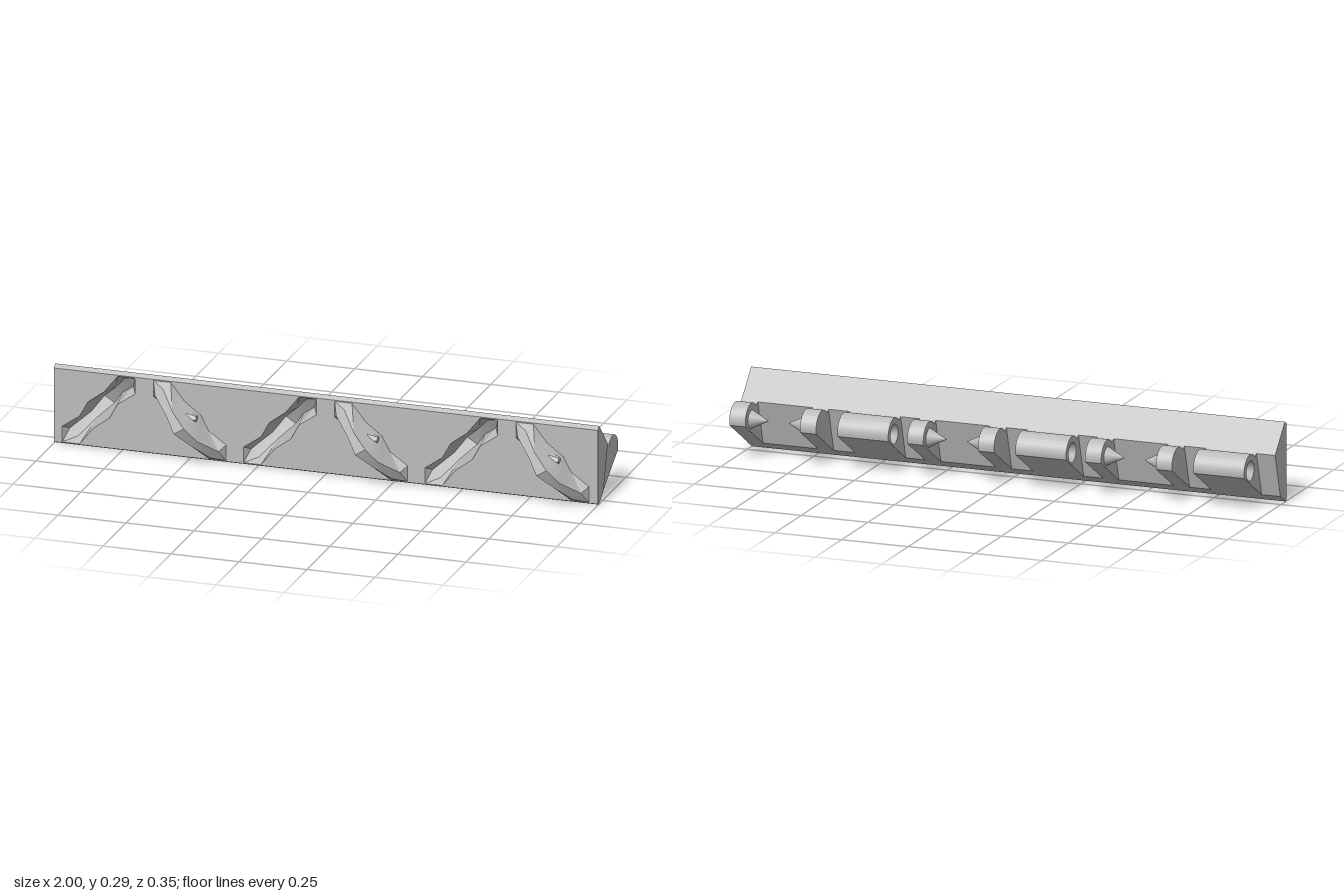
import * as THREE from 'three';
import { toCreasedNormals } from 'three/addons/utils/BufferGeometryUtils.js';

const PITCH = 2 / 3, FRONT = 0.055, MID = 0.141;
const PIN = { z: -0.114, y: 0.143, r: 0.059, hole: 0.036, depth: 0.065 };
const TOP_BACK = [-0.055, 0.191], LOW_BACK = [-0.005, 0.03];
const UPPER = [[FRONT, 0.278], [0.038, 0.289], TOP_BACK];
const LOWER = [LOW_BACK, [0.045, 0], [FRONT, 0.005]];

// rounded knuckle outline as [z, y] points
const KNUCKLE = [TOP_BACK];
const a0 = Math.atan2(0.039, 0.046), a1 = Math.PI + 0.22;
for (let i = 0; i <= 20; i++) {
  const a = a0 + (a1 - a0) * i / 20;
  KNUCKLE.push([PIN.z + PIN.r * Math.cos(a), PIN.y + PIN.r * Math.sin(a)]);
}
KNUCKLE.push(LOW_BACK);

// interlocking lug outline: points along one edge; the other edge is its half turn
const TIP = [0.134, 0.133];
const EDGE = [TIP, [0.07, 0.133], [0.02, 0.07], [-0.04, 0.025], [-0.07, -0.03], [-0.134, -0.075], [-0.134, -0.133]];
const OTHER = [TIP, ...EDGE.slice(1, 6).reverse().map(([x, y]) => [-x, -y]), EDGE[6]];
const HEIGHT = [0, 0.033, 0.09, 0.12, 0.09, 0.033, 0];

function indexed(pos, idx) {
  const g = new THREE.BufferGeometry();
  g.setAttribute('position', new THREE.Float32BufferAttribute(pos, 3));
  g.setIndex(idx);
  return toCreasedNormals(g, 0.4);
}

// sweep an open [z, y] path along x
function strip(path, x0, x1) {
  const pos = [], idx = [];
  path.forEach(([z, y], i) => {
    pos.push(x0, y, z, x1, y, z);
    const k = i * 2;
    if (i < path.length - 1) idx.push(k, k + 1, k + 3, k, k + 3, k + 2);
  });
  return indexed(pos, idx);
}

// flat end face of a [z, y] outline
function cap(path, x, holed) {
  const s = new THREE.Shape(path.map(([z, y]) => new THREE.Vector2(-z, y)));
  if (holed) s.holes.push(new THREE.Path().absarc(-PIN.z, PIN.y, PIN.hole, 0, Math.PI * 2, true));
  return new THREE.ShapeGeometry(s, 24).rotateY(Math.PI / 2).translate(x, 0, 0);
}

// faceted lug rising from z = 0, leaning from upper left to lower right
function lugGeometry() {
  const pos = [], idx = [], inset = 0.27;
  EDGE.forEach((u, i) => {
    const l = OTHER[i], h = HEIGHT[i];
    const mix = t => [u[0] + (l[0] - u[0]) * t, u[1] + (l[1] - u[1]) * t];
    [[u, 0], [mix(inset), h], [mix(1 - inset), h], [l, 0]].forEach(([p, z]) => pos.push(-p[0], p[1], z));
    if (i) for (let j = 0; j < 3; j++) {
      const a = (i - 1) * 4 + j, b = i * 4 + j;
      idx.push(a, a + 1, b + 1, a, b + 1, b);
    }
  });
  return indexed(pos, idx);
}

export function createModel() {
  const model = new THREE.Group();
  const grey = new THREE.MeshStandardMaterial({ color: 0xbbbbbb, side: THREE.DoubleSide });
  grey.name = 'plain grey';
  const add = (name, geo, parent = model) => {
    const m = new THREE.Mesh(geo, grey);
    m.name = name;
    parent.add(m);
    return m;
  };
  const pinCone = (name, x, dir, radius, open, parent) =>
    add(name, new THREE.ConeGeometry(radius, PIN.depth, 24, 1, open)
      .rotateZ(-dir * Math.PI / 2).translate(x + dir * PIN.depth / 2, PIN.y, PIN.z), parent);

  // bar: top, underside and ends
  add('barTop', strip(UPPER, -1, 1));
  add('barUnderside', strip(LOWER, -1, 1));
  for (const x of [-1, 1]) add('barEnd', cap([...UPPER, ...LOWER], x));

  // front face, pierced where the lug recesses go in
  const face = new THREE.Shape([[-1, 0.005], [1, 0.005], [1, 0.278], [-1, 0.278]].map(p => new THREE.Vector2(...p)));
  const lug = lugGeometry();
  const backBreaks = [-1];
  for (let i = 0; i < 3; i++) {
    const dx = i * PITCH, recessX = -0.835 + dx, lugX = -0.5 + dx;
    const outline = [...EDGE, ...OTHER.slice(1, 6).reverse()];
    face.holes.push(new THREE.Path(outline.map(([x, y]) => new THREE.Vector2(recessX + x, MID + y))));

    const recess = add('lugRecess', lug);
    recess.rotation.y = Math.PI;
    recess.position.set(recessX, MID, FRONT);

    // raised lug with its small detent nub
    const raised = new THREE.Group();
    raised.name = 'raisedLug';
    raised.position.set(lugX, MID, FRONT);
    add('lugBody', lug, raised);
    const nub = add('detentNub', new THREE.CylinderGeometry(0.013, 0.025, 0.035, 6).toNonIndexed(), raised);
    nub.geometry.computeVertexNormals();
    nub.rotation.z = -Math.PI / 2;
    nub.position.set(0.02, 0.022, 0.035);
    model.add(raised);

    // hinge knuckles: one long socketed barrel, two short ones with facing cones
    const spans = [['barrel', -0.93, -0.74, 0], ['pinKnuckle', -0.66, -0.6, 1], ['pinKnuckle', -0.395, -0.335, -1]];
    for (const [name, s, e, dir] of spans) {
      const g = new THREE.Group(), x0 = s + dx, x1 = Math.min(e + dx, 1);
      g.name = name;
      add('knuckleSkin', strip(KNUCKLE, x0, x1), g);
      for (const x of [x0, x1]) add('knuckleSide', cap(KNUCKLE, x, dir === 0), g);
      if (dir) pinCone('pivotCone', dir > 0 ? x1 : x0, dir, 0.034, false, g);
      else {
        pinCone('pivotSocket', x0, 1, PIN.hole, true, g);
        pinCone('pivotSocket', x1, -1, PIN.hole, true, g);
      }
      backBreaks.push(x0, x1);
      model.add(g);
    }
  }
  backBreaks.push(1);
  add('frontFace', new THREE.ShapeGeometry(face).translate(0, 0, FRONT));

  // slanted back of the bar, seen between the knuckles
  for (let i = 0; i < backBreaks.length; i += 2) {
    if (backBreaks[i + 1] - backBreaks[i] > 0.001)
      add('barBack', strip([TOP_BACK, LOW_BACK], backBreaks[i], backBreaks[i + 1]));
  }
  return model;
}
